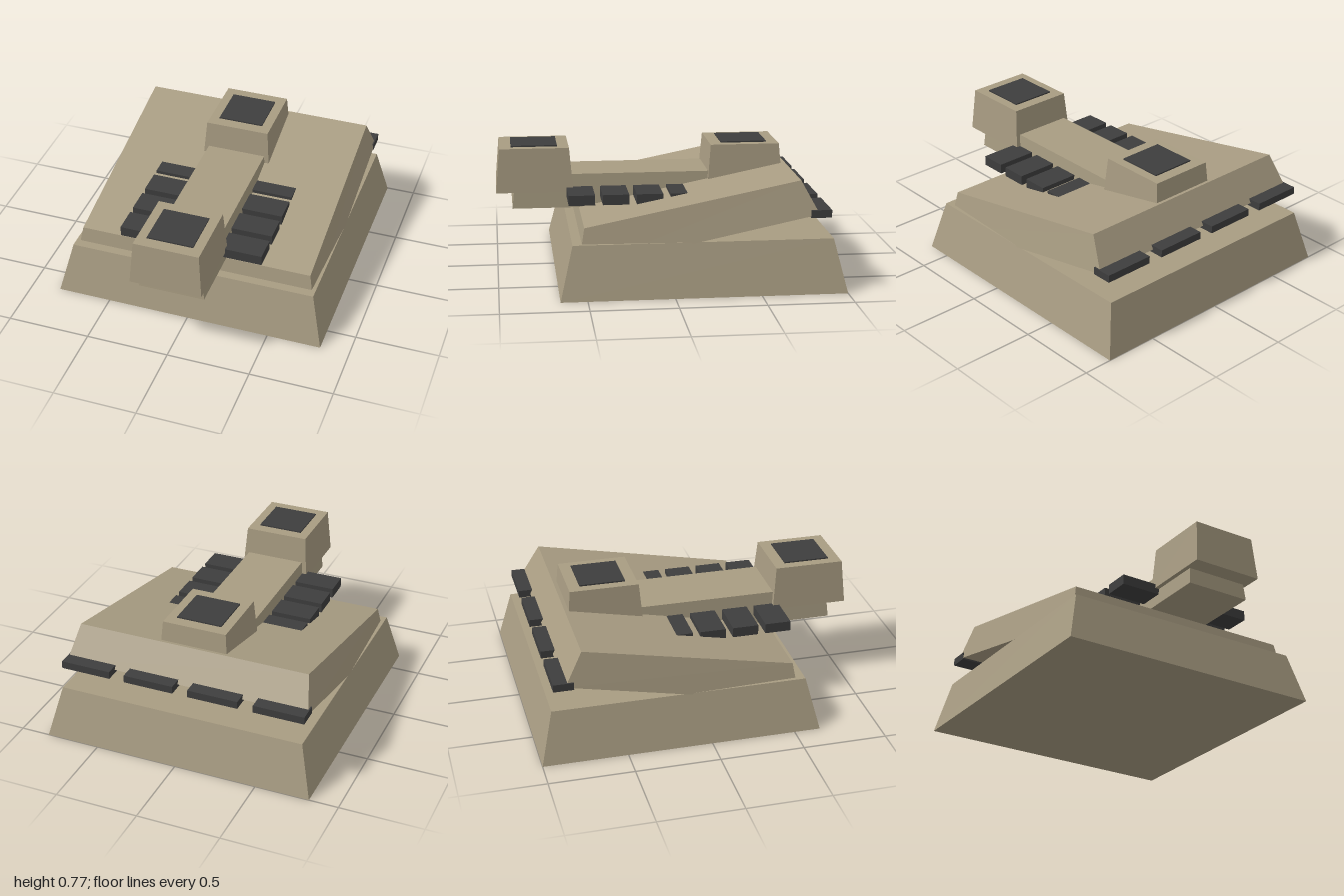
import * as THREE from 'three';

const tan = new THREE.MeshStandardMaterial({ color: 0xa89c82 });
tan.name = 'sandstone';
const dark = new THREE.MeshStandardMaterial({ color: 0x3e3e3e });
dark.name = 'charcoal';

// Six-sided block: each level is { x: half width, front: [z, y], back: [z, y] }
function block(bottom, top) {
  const corners = [bottom, top].flatMap(({ x, front, back }) => [
    [-x, front[1], front[0]], [x, front[1], front[0]],
    [x, back[1], back[0]], [-x, back[1], back[0]],
  ]);
  const quads = [
    [0, 1, 5, 4], [1, 2, 6, 5], [2, 3, 7, 6],
    [3, 0, 4, 7], [4, 5, 6, 7], [3, 2, 1, 0],
  ];
  const positions = quads.flatMap(([a, b, c, d]) => [a, b, c, a, c, d].flatMap((i) => corners[i]));
  const geometry = new THREE.BufferGeometry();
  geometry.setAttribute('position', new THREE.Float32BufferAttribute(positions, 3));
  geometry.computeVertexNormals();
  return geometry;
}

// Level with a horizontal outline
const level = (x, y, zFront, zBack) => ({ x, front: [zFront, y], back: [zBack, y] });

export function createModel() {
  const model = new THREE.Group();
  model.name = 'steppedBuilding';

  const add = (name, geometry, material, x = 0, y = 0, z = 0) => {
    const mesh = new THREE.Mesh(geometry, material);
    mesh.name = name;
    mesh.position.set(x, y, z);
    model.add(mesh);
  };

  // Tapered foundation
  add('base', block(level(0.825, 0, 0.655, -1), level(0.75, 0.31, 0.58, -0.925)), tan);

  // Sloping slab, sunk into the base at the front
  add('tiltedSlab', block(
    { x: 0.752, front: [0.55, 0.165], back: [-0.84, 0.455] },
    { x: 0.71, front: [0.51, 0.4], back: [-0.735, 0.648] },
  ), tan);

  // Long central gallery
  add('gallery', block(level(0.197, 0.4, 0.905, -0.635), level(0.18, 0.6, 0.885, -0.615)), tan);

  // Towers with dark roof panels
  for (const [name, z] of [['front', 0.771], ['rear', -0.493]]) {
    add(name + 'Tower', block(level(0.215, 0.5, 0.229, -0.229), level(0.195, 0.762, 0.207, -0.207)), tan, 0, 0, z);
    add(name + 'RoofPanel', new THREE.BoxGeometry(0.275, 0.009, 0.275), dark, 0, 0.7655, z);
  }

  // Dark bays projecting from both sides of the gallery
  for (let i = 0; i < 4; i++) {
    for (const side of [-1, 1]) {
      add('sideBay', new THREE.BoxGeometry(0.3, 0.06, 0.155), dark, side * 0.285, 0.495, 0.505 - i * 0.2);
    }
  }

  // Dark bays along the rear face of the slab
  for (let i = 0; i < 4; i++) {
    add('rearBay', new THREE.BoxGeometry(0.307, 0.045, 0.12), dark, -0.6 + i * 0.4, 0.457, -0.85);
  }

  return model;
}
